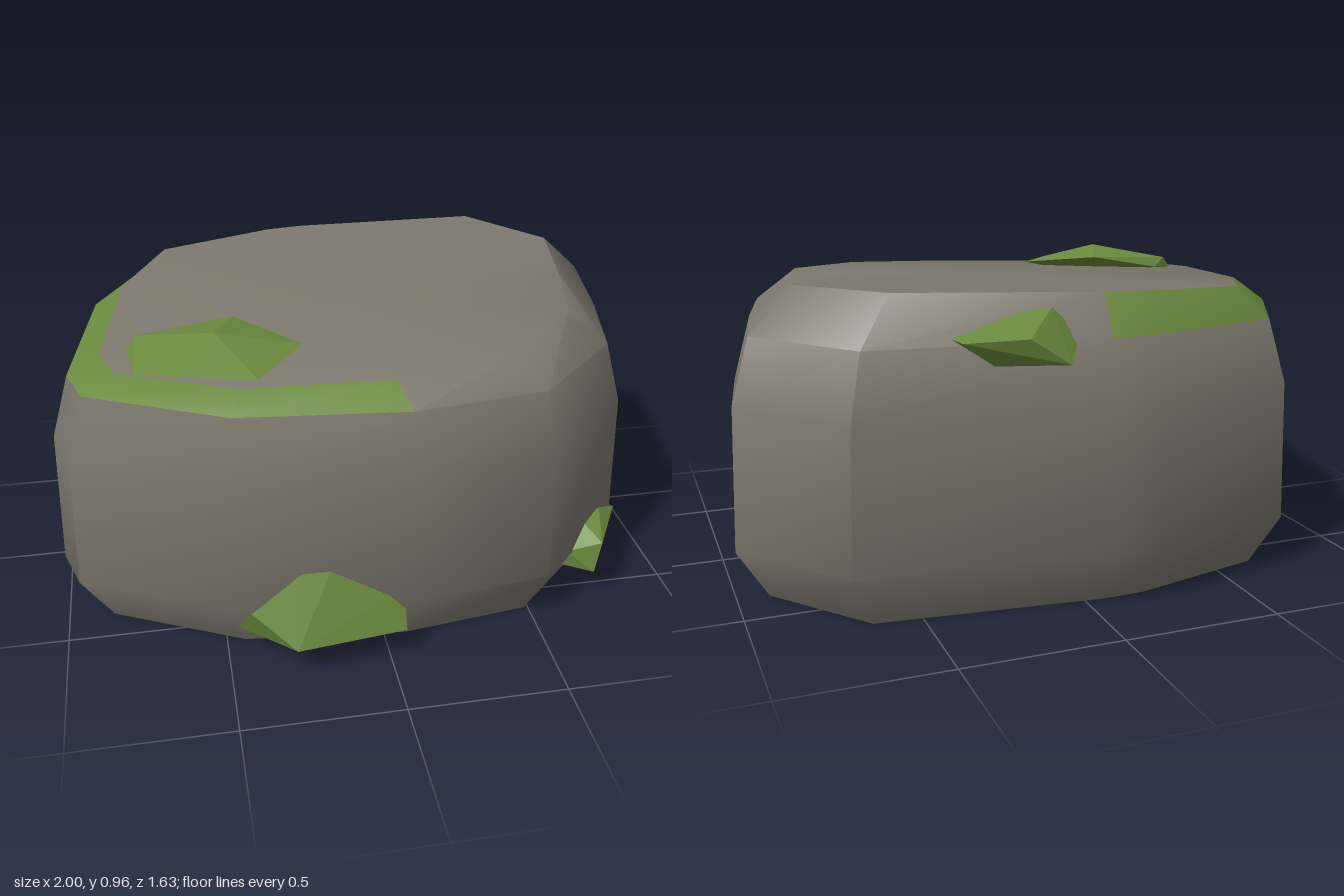
import * as THREE from 'three';
import { toCreasedNormals } from 'three/addons/utils/BufferGeometryUtils.js';
import { ConvexGeometry } from 'three/addons/geometries/ConvexGeometry.js';

const V = (x, y, z) => new THREE.Vector3(x, y, z);

// Widest outline of the boulder as [x, z], starting at the front and running to +x
const OUTLINE = [
  [0.08, 0.72], [0.54, 0.66], [0.86, 0.35], [0.94, 0], [1, -0.38], [0.72, -0.72], [-0.07, -0.8],
  [-0.22, -0.795], [-0.71, -0.68], [-0.91, -0.32], [-1, 0.27], [-0.95, 0.43], [-0.49, 0.66],
];
const MOSS_START = 6; // outline columns from here on carry the moss band

function createBoulder(rock, moss) {
  // Stacked rings: [scale, height]; the last one lies on a tilted plane
  const ring = (s, height) => OUTLINE.map(([x, z]) => V(x * s, height(x * s, z * s), z * s));
  const topY = (x, z) => 0.91 + 0.04 * x - 0.05 * z;
  const rings = [[0.9, 0], [1, 0.17], [0.985, 0.62], [0.925, 0.82]].map(([s, y]) => ring(s, () => y));
  rings.push(ring(0.8, topY).map((p) => {
    p.x -= 0.02;
    return p;
  }));

  const rockFaces = [];
  const mossFaces = [];
  const n = OUTLINE.length;
  const last = rings.length - 1;
  for (let i = 0; i < n; i++) {
    const j = (i + 1) % n;
    for (let k = 0; k < last; k++) {
      const [a, b, c, d] = [rings[k][i], rings[k][j], rings[k + 1][j], rings[k + 1][i]];
      const target = k === last - 1 && i >= MOSS_START ? mossFaces : rockFaces;
      target.push(a, b, c, a, c, d);
    }
    // Bottom and top caps
    rockFaces.push(V(0, 0, 0), rings[0][j], rings[0][i]);
    rockFaces.push(V(0, topY(0, 0), 0), rings[last][i], rings[last][j]);
  }

  const geometry = new THREE.BufferGeometry().setFromPoints([...rockFaces, ...mossFaces]);
  geometry.addGroup(0, rockFaces.length, 0);
  geometry.addGroup(rockFaces.length, mossFaces.length, 1);
  const mesh = new THREE.Mesh(toCreasedNormals(geometry, 0.7), [rock, moss]);
  mesh.name = 'boulder';
  return mesh;
}

// Faceted moss clumps, each the hull of a few points
const CLUMPS = {
  topMoss: [
    [-0.74, 0.87, 0.2], [-0.71, 0.91, 0.19], [-0.66, 0.88, 0.16], [-0.4, 0.93, 0.14], [-0.47, 0.955, 0.31],
    [-0.2, 0.9, 0.32], [-0.36, 0.89, 0.52], [-0.6, 0.89, 0.46], [-0.72, 0.87, 0.38], [-0.5, 0.83, 0.35],
  ],
  frontMoss: [
    [-0.47, 0.11, 0.66], [-0.43, 0.22, 0.75], [-0.27, 0.31, 0.7], [-0.18, 0.31, 0.7], [0, 0.21, 0.72],
    [0.05, 0.16, 0.73], [0.05, 0.1, 0.76], [-0.3, 0.11, 0.815], [-0.21, 0.005, 0.66], [-0.2, 0.15, 0.6],
  ],
  sideMoss: [
    [0.62, 0.11, 0.52], [0.64, 0.17, 0.54], [0.71, 0.24, 0.47], [0.79, 0.25, 0.42], [0.87, 0.21, 0.36],
    [0.85, 0.11, 0.3], [0.7, 0.02, 0.38], [0.73, 0.1, 0.575], [0.75, 0.21, 0.57],
  ],
  backMoss: [
    [0.02, 0.83, -0.69], [0.1, 0.77, -0.82], [0.22, 0.85, -0.81], [0.4, 0.84, -0.76], [0.41, 0.84, -0.69],
    [0.2, 0.9, -0.66], [0.1, 0.91, -0.67], [0.3, 0.765, -0.74], [0.2, 0.8, -0.62],
  ],
};

export function createModel() {
  const rock = new THREE.MeshStandardMaterial({ color: 0x7c786e });
  rock.name = 'rock grey';
  const moss = new THREE.MeshStandardMaterial({ color: 0x6b8a3e });
  moss.name = 'moss green';

  const model = new THREE.Group();
  model.name = 'mossyBoulder';
  model.add(createBoulder(rock, moss));
  for (const [name, points] of Object.entries(CLUMPS)) {
    const clump = new THREE.Mesh(new ConvexGeometry(points.map((p) => V(...p))), moss);
    clump.name = name;
    model.add(clump);
  }
  return model;
}
